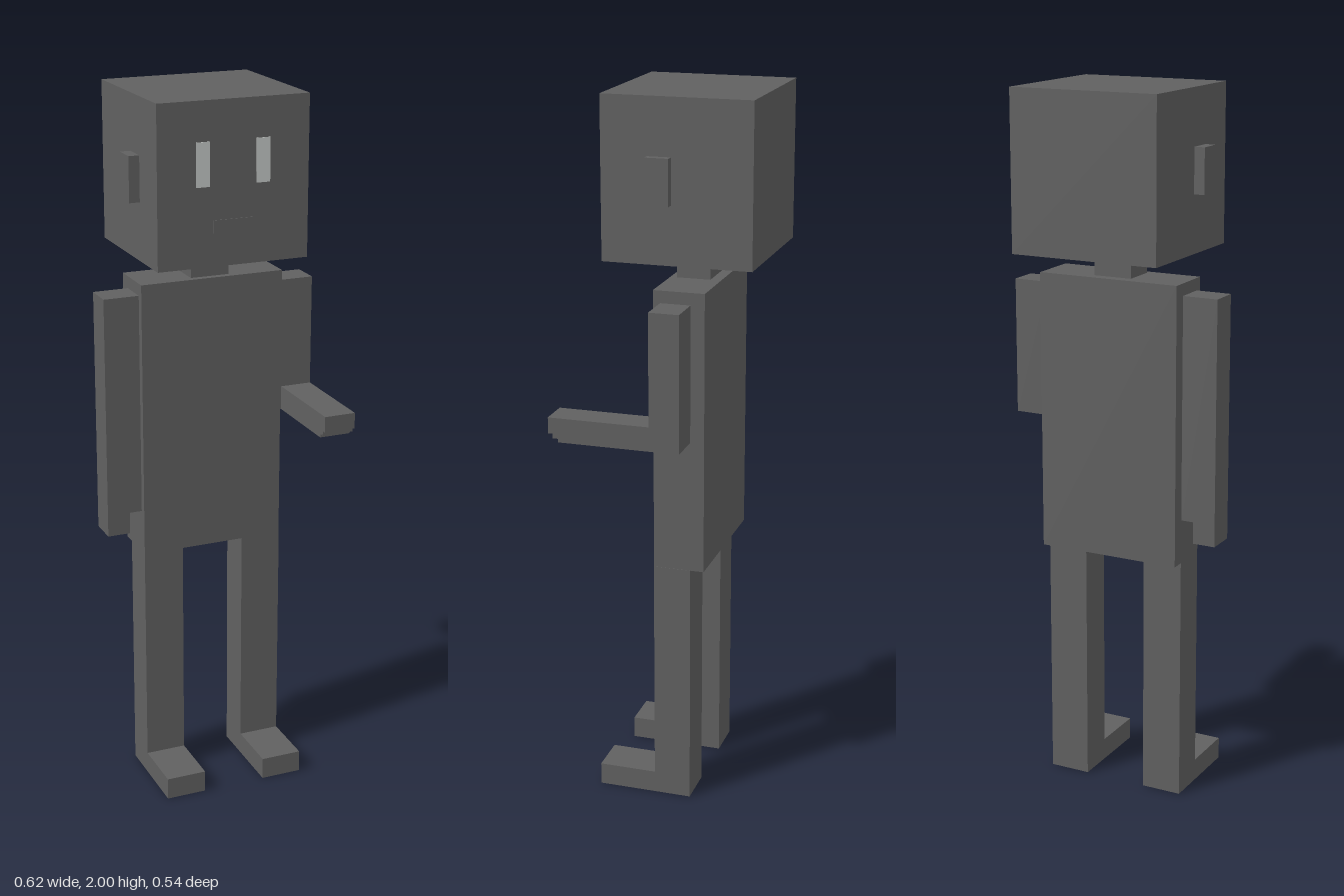
import * as THREE from 'three';

const bodyGrey = new THREE.MeshStandardMaterial({ color: 0x606060 });
bodyGrey.name = 'bodyGrey';
const eyeGrey = new THREE.MeshStandardMaterial({ color: 0xc4c8c6 });
eyeGrey.name = 'eyeGrey';

export function createModel() {
  const model = new THREE.Group();
  model.name = 'blockFigure';

  const add = (name, geometry, material = bodyGrey) => {
    const mesh = new THREE.Mesh(geometry, material);
    mesh.name = name;
    model.add(mesh);
  };

  // Box given by its extents along each axis
  const box = (name, [x0, x1], [y0, y1], [z0, z1], material) => {
    const g = new THREE.BoxGeometry(x1 - x0, y1 - y0, z1 - z0);
    g.translate((x0 + x1) / 2, (y0 + y1) / 2, (z0 + z1) / 2);
    add(name, g, material);
  };

  // Side profile of [z, y] points, extruded from x0 to x1
  const profile = (name, points, x0, x1) => {
    const shape = new THREE.Shape(points.map(([z, y]) => new THREE.Vector2(z, y)));
    const g = new THREE.ExtrudeGeometry(shape, { depth: x1 - x0, bevelEnabled: false });
    g.rotateY(-Math.PI / 2);
    g.translate(x1, 0, 0);
    add(name, g);
  };

  // Head, ears and neck
  box('head', [-0.215, 0.215], [1.56, 2], [-0.27, 0.142]);
  box('rightEar', [-0.245, -0.21], [1.72, 1.845], [-0.05, 0.015]);
  box('leftEar', [0.21, 0.237], [1.72, 1.845], [-0.05, 0.015]);
  box('neck', [-0.058, 0.053], [1.48, 1.57], [-0.11, -0.016]);

  // Face plates
  const face = [0.14, 0.144];
  box('rightEye', [-0.107, -0.069], [1.775, 1.893], face, eyeGrey);
  box('leftEye', [0.064, 0.103], [1.775, 1.893], face, eyeGrey);
  box('mouth', [-0.059, 0.053], [1.65, 1.685], face);

  // Torso
  box('torso', [-0.21, 0.206], [0.703, 1.49], [-0.14, 0.003]);

  // Legs with forward-pointing feet
  const leg = [[-0.102, 0], [0.167, 0], [0.167, 0.063], [0.003, 0.063], [0.003, 0.703], [-0.102, 0.703]];
  profile('rightLeg', leg, -0.21, -0.094);
  profile('leftLeg', leg, 0.089, 0.207);

  // Hanging right arm with a narrower hand
  const armDepth = [-0.101, -0.017];
  box('rightArm', [-0.311, -0.21], [0.828, 1.456], armDepth);
  box('rightHand', [-0.311, -0.246], [0.766, 0.828], armDepth);

  // Left arm bent forward, fingers stepped underneath
  box('leftUpperArm', [0.206, 0.308], [1.075, 1.456], armDepth);
  profile('leftForearm', [
    [-0.017, 1.075], [0.24, 1.075], [0.24, 1.085], [0.255, 1.085],
    [0.255, 1.098], [0.268, 1.098], [0.268, 1.143], [-0.017, 1.143],
  ], 0.218, 0.308);

  return model;
}
